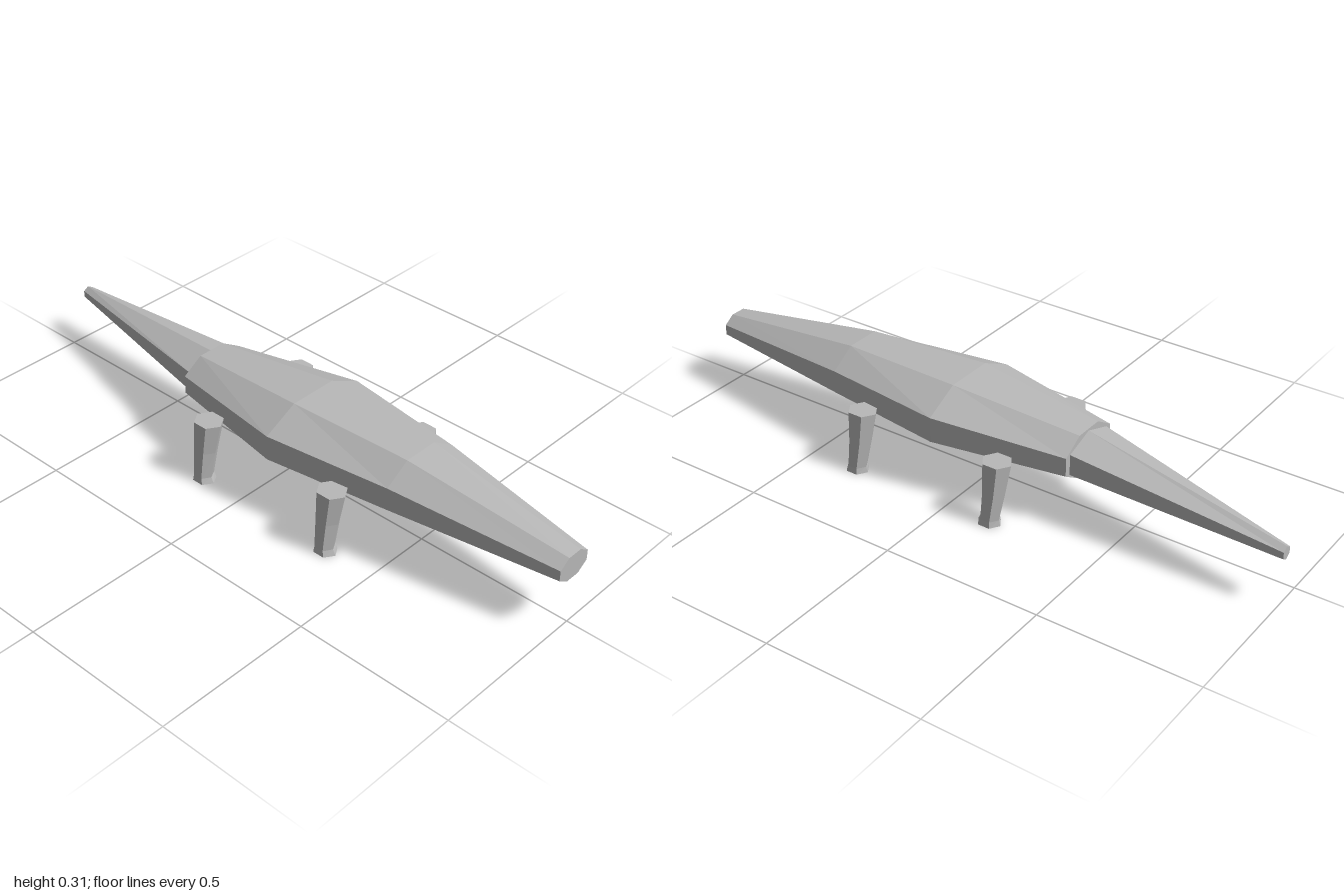
import * as THREE from 'three';

const skin = new THREE.MeshStandardMaterial({ color: 0xb8b8b8, flatShading: true });
skin.name = 'grey skin';

// Closed loft along z through n-sided rings: [centreX, centreY, z, halfWidth, halfHeight]
function loft(rings, n, startAngle) {
  const unit = [];
  for (let i = 0; i < n; i++) {
    const a = startAngle + (i / n) * Math.PI * 2;
    unit.push([Math.cos(a), Math.sin(a)]);
  }
  const mx = Math.max(...unit.map(p => p[0]));
  const my = Math.max(...unit.map(p => p[1]));
  const pos = [];
  const index = [];
  for (const [cx, cy, z, w, h] of rings) {
    for (const [ux, uy] of unit) pos.push(cx + (ux / mx) * w, cy + (uy / my) * h, z);
  }
  for (let r = 0; r < rings.length - 1; r++) {
    for (let i = 0; i < n; i++) {
      const a = r * n + i;
      const b = r * n + ((i + 1) % n);
      index.push(a, b, b + n, a, b + n, a + n);
    }
  }
  // End caps as fans
  const last = (rings.length - 1) * n;
  for (let i = 1; i < n - 1; i++) {
    index.push(0, i + 1, i);
    index.push(last, last + i, last + i + 1);
  }
  const geo = new THREE.BufferGeometry();
  geo.setAttribute('position', new THREE.Float32BufferAttribute(pos, 3));
  geo.setIndex(index);
  const flat = geo.toNonIndexed();
  flat.computeVertexNormals();
  return flat;
}

function part(name, geo) {
  const mesh = new THREE.Mesh(geo, skin);
  mesh.name = name;
  return mesh;
}

export function createModel() {
  const model = new THREE.Group();
  model.name = 'lowPolyReptile';

  // Body and blunt snout: one eight-sided hull
  model.add(part('body', loft([
    [0, 0.196, -0.335, 0.115, 0.071],
    [0, 0.21, 0.08, 0.192, 0.096],
    [0, 0.21, 0.48, 0.138, 0.088],
    [0, 0.193, 1, 0.06, 0.04],
  ], 8, Math.PI / 8)));

  // Six-sided tail, swung to the model's left
  model.add(part('tail', loft([
    [0.078, 0.162, -1, 0.018, 0.021],
    [0, 0.195, -0.33, 0.095, 0.066],
  ], 6, Math.PI / 2)));

  // Four splayed legs, each with a slightly flared foot
  for (const [place, z] of [['front', 0.329], ['back', -0.155]]) {
    for (const [side, s] of [['Left', 1], ['Right', -1]]) {
      const geo = loft([
        [s * 0.222, -0.005, 0, 0.0295, 0.038],
        [s * 0.222, -0.003, 0.018, 0.0265, 0.031],
        [s * 0.207, 0, 0.1, 0.031, 0.038],
        [s * 0.192, 0, 0.192, 0.0375, 0.048],
      ], 6, Math.PI / 2);
      geo.rotateX(-Math.PI / 2);
      const leg = part(place + side + 'Leg', geo);
      leg.position.z = z;
      model.add(leg);
    }
  }
  return model;
}
